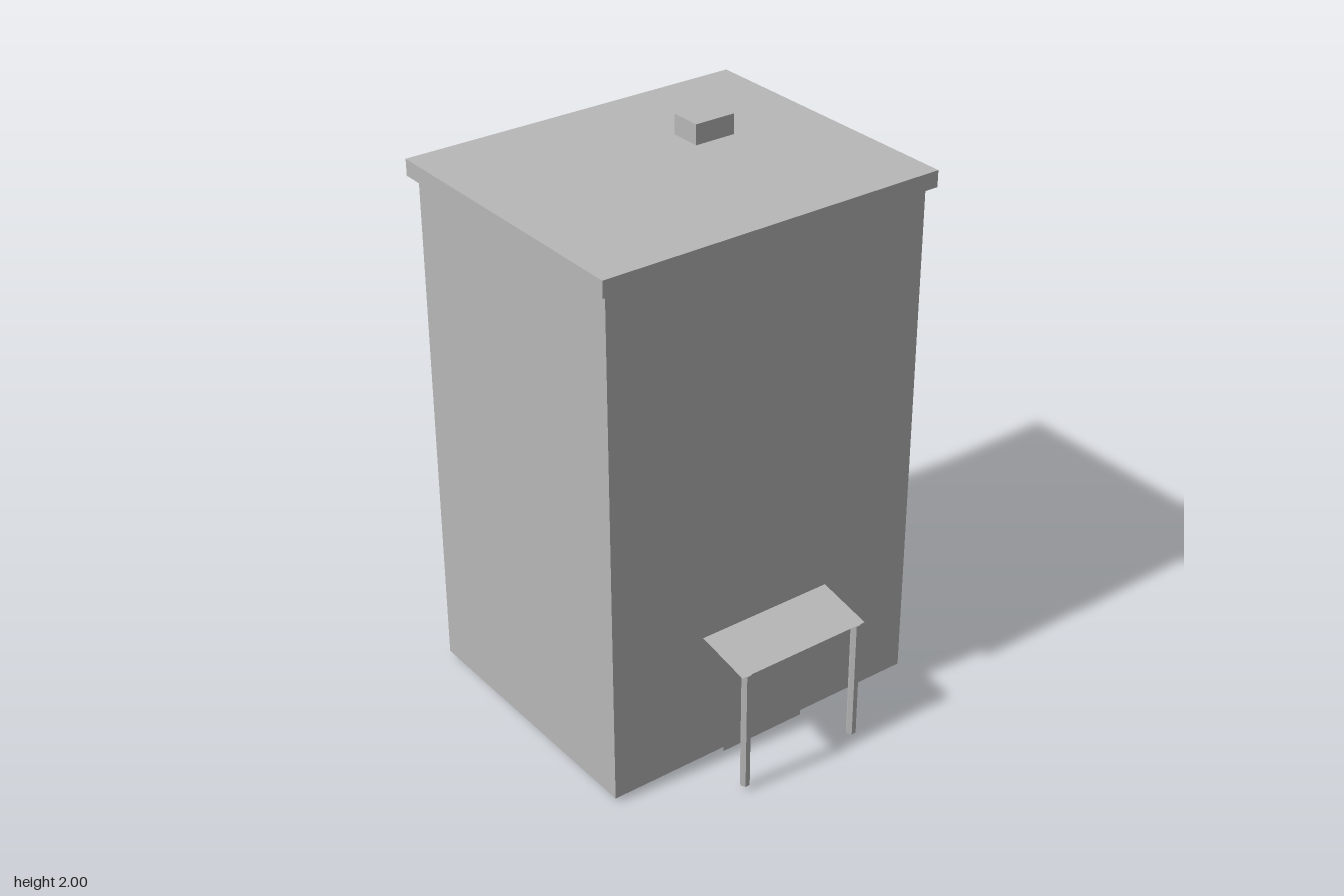
import * as THREE from 'three';

const grey = new THREE.MeshStandardMaterial({ color: 0xb8b8b8, side: THREE.DoubleSide });
grey.name = 'plain grey';

// Box faces in index order: +x, -x, +y, -y, +z, -z
const TOP = 2, BOTTOM = 3;

// Box given by its min and max corners, with some faces left open
function shell(name, [x0, y0, z0], [x1, y1, z1], open = []) {
  const geometry = new THREE.BoxGeometry(x1 - x0, y1 - y0, z1 - z0);
  const index = Array.from(geometry.index.array).filter((_, i) => !open.includes(Math.floor(i / 6)));
  geometry.setIndex(index);
  geometry.clearGroups();
  geometry.translate((x0 + x1) / 2, (y0 + y1) / 2, (z0 + z1) / 2);
  return part(name, geometry);
}

function part(name, geometry) {
  const mesh = new THREE.Mesh(geometry, grey);
  mesh.name = name;
  return mesh;
}

export function createModel() {
  const model = new THREE.Group();
  model.name = 'building';

  // Four hollow walls under an overhanging roof cap that is open below
  model.add(shell('walls', [-0.618, 0.018, -0.604], [0.615, 1.87, 0.422], [TOP, BOTTOM]));
  model.add(shell('roofCap', [-0.644, 1.87, -0.633], [0.641, 1.928, 0.448], [BOTTOM]));
  model.add(shell('chimney', [0.154, 1.928, -0.281], [0.308, 2, -0.165], [BOTTOM]));

  // Door sill reaching just below the front wall
  const sill = new THREE.PlaneGeometry(0.335, 0.018);
  sill.translate(-0.002, 0.009, 0.422);
  model.add(part('doorSill', sill));

  // Single sloped sheet over the entrance
  const depth = 0.207, rise = 0.04;
  const sheet = new THREE.PlaneGeometry(0.516, Math.hypot(depth, rise));
  sheet.rotateX(-Math.PI / 2 + Math.atan2(rise, depth));
  sheet.translate(-0.001, 0.487, 0.525);
  model.add(part('canopy', sheet));

  // Hexagonal posts carrying the front edge of the canopy
  const flatGrey = grey.clone();
  flatGrey.flatShading = true;
  for (const [name, x] of [['leftPost', 0.228], ['rightPost', -0.233]]) {
    const post = new THREE.CylinderGeometry(0.0175, 0.0175, 0.449, 6, 1, false, Math.PI / 2);
    post.translate(x, 0.2425, 0.617);
    const mesh = part(name, post);
    mesh.material = flatGrey;
    model.add(mesh);
  }

  return model;
}
